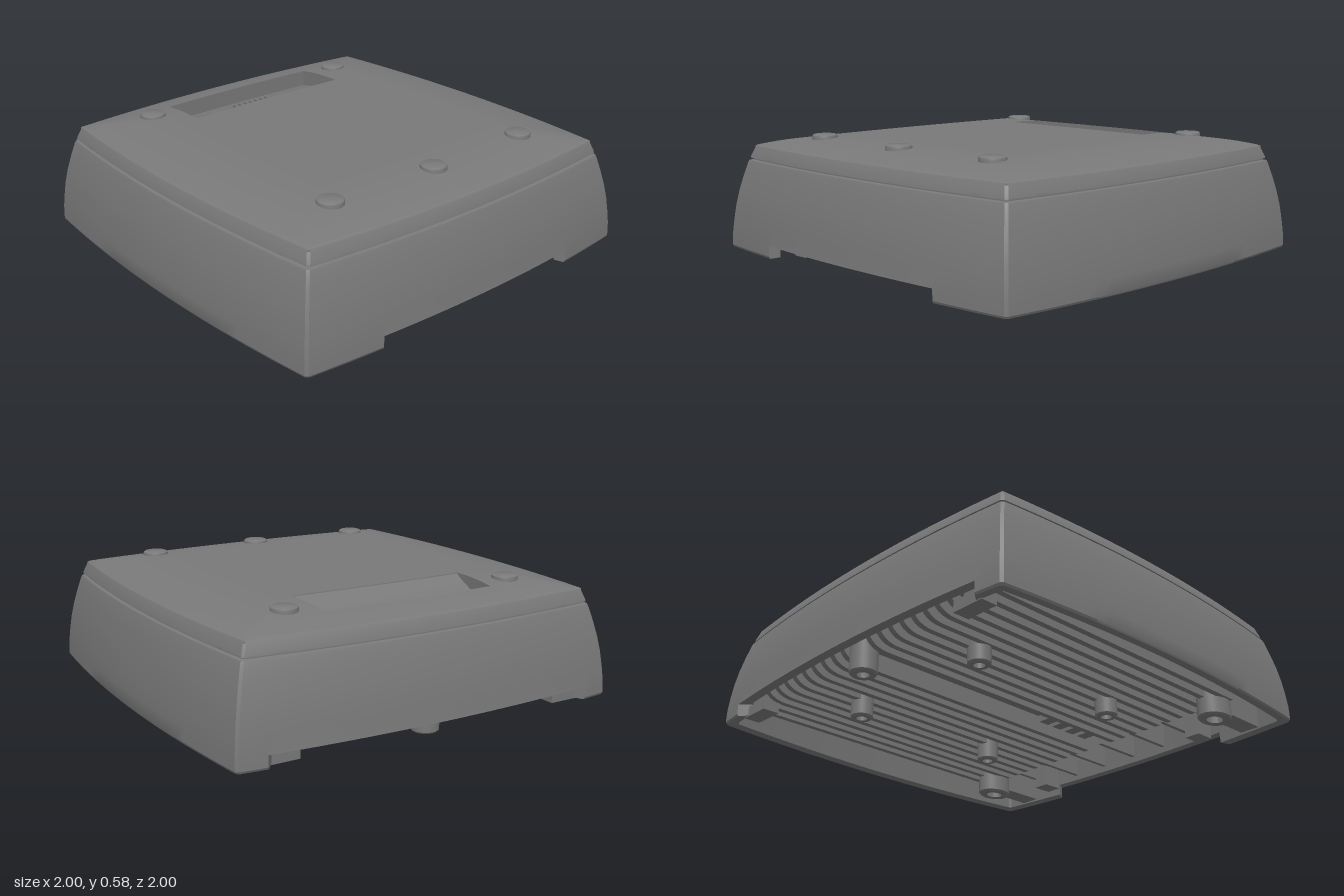
import * as THREE from 'three';
import { toCreasedNormals } from 'three/addons/utils/BufferGeometryUtils.js';

const material = new THREE.MeshStandardMaterial({ color: 0x797979 });
const BULGE = 0.055;

export function createModel() {
  const model = new THREE.Group();

  const add = (name, geometry, x = 0, y = 0, z = 0) => {
    const mesh = new THREE.Mesh(geometry, material);
    mesh.name = name;
    mesh.position.set(x, y, z);
    model.add(mesh);
    return mesh;
  };
  const box = (name, w, h, d, x, y, z) => add(name, new THREE.BoxGeometry(w, h, d), x, y, z);

  // Surface over two parameter lists
  const gridSurface = (us, vs, point, crease) => {
    const positions = [], index = [];
    vs.forEach((v) => us.forEach((u) => positions.push(...point(u, v))));
    for (let j = 0; j < vs.length - 1; j++) {
      for (let i = 0; i < us.length - 1; i++) {
        const a = j * us.length + i, b = a + 1, c = a + us.length, d = c + 1;
        index.push(a, c, b, b, c, d);
      }
    }
    const g = new THREE.BufferGeometry();
    g.setAttribute('position', new THREE.Float32BufferAttribute(positions, 3));
    g.setIndex(index);
    return toCreasedNormals(g, crease);
  };

  // Evenly spaced values from -1 to 1 with a tight pair of lines at every sharp step
  const lines = (n, steps) => {
    const list = [];
    for (let i = 0; i <= n; i++) list.push(2 * i / n - 1);
    steps.forEach((s) => list.push(s - 0.0005, s + 0.0005));
    return list.sort((a, b) => a - b);
  };

  // Housing shell: bulged square rings, notched at the bottom front and back
  const FRONT_NOTCH = 0.61, BACK_NOTCH = 0.87;
  const along = lines(24, [FRONT_NOTCH, -FRONT_NOTCH, BACK_NOTCH, -BACK_NOTCH]);
  const ring = [];
  for (let k = 0; k < 4; k++) along.forEach((t) => ring.push([k, t]));
  ring.push(ring[0]);
  const profile = [
    [0.001, 0.3], [0.94, 0.3], [0.955, 0.03], [0.995, 0.025], [1, 0.035], [0.998, 0.1],
    [0.992, 0.16], [0.983, 0.23], [0.97, 0.3], [0.953, 0.37], [0.935, 0.435], [0.93, 0.447],
    [0.915, 0.45], [0.915, 0.456], [0.925, 0.458], [0.922, 0.47], [0.907, 0.508], [0.902, 0.516], [0.89, 0.522],
  ];
  add('housing', gridSurface(ring, profile, ([k, t], [h, y]) => {
    const a = k * Math.PI / 2, c = Math.round(Math.cos(a)), s = Math.round(Math.sin(a));
    const cut = y < 0.51 ? 0.988 : 1; // softens the vertical corners
    const out = h * (1 - BULGE * t * t), side = h * (1 - BULGE) * t * cut;
    const notch = k === 1 ? FRONT_NOTCH : k === 3 ? BACK_NOTCH : 0;
    const bottom = Math.abs(t) < notch ? 0.085 : 0;
    return [out * c - side * s, Math.max(y, bottom), out * s + side * c];
  }, 0.5));

  // Lid top: gently hipped dome with a sunken bay whose floor ramps up to the front
  const bay = { s: 0.5, t0: -0.83, t1: -0.545 };
  const topHeight = (s, t) => {
    const f = Math.min(1, (1 - Math.max(Math.abs(s), Math.abs(t))) / 0.38);
    return 0.522 + 0.043 * (1 - (1 - f) ** 2);
  };
  add('lidTop', gridSurface(
    lines(48, [bay.s, -bay.s]), lines(48, [bay.t0, bay.t1]),
    (s, t) => {
      let y = topHeight(s, t);
      if (Math.abs(s) < bay.s && t > bay.t0 && t < bay.t1) {
        const q = (t - bay.t0) / (bay.t1 - bay.t0);
        y -= 0.005 + 0.075 * (1 - q * q);
      }
      return [0.89 * s * (1 - BULGE * t * t), y, 0.89 * t * (1 - BULGE * s * s)];
    }, 0.5));

  // Contact pins in the bay
  for (let i = -3; i <= 3; i++) box('contactPin', 0.012, 0.05, 0.05, i * 0.033, 0.485, -0.62);

  // Round pads on the lid
  const padProfile = [[0.06, 0], [0.06, 0.018], [0.058, 0.025], [0.05, 0.03], [0, 0.03]]
    .map(([r, y]) => new THREE.Vector2(r, y));
  const padGeometry = toCreasedNormals(new THREE.LatheGeometry(padProfile, 32), 0.6);
  [[-0.57, -0.655], [0.57, -0.655], [-0.57, 0.65], [0.57, 0.65], [0, 0.67]]
    .forEach(([x, z]) => add('lidPad', padGeometry, x, 0.548, z));

  // Heat sink base inside the open underside
  box('heatSinkBase', 1.68, 0.14, 1.54, 0, 0.24, -0.11);

  // Cooling fins, rounded at the lower back corner
  const fin = new THREE.Shape();
  fin.moveTo(0.68, 0.2);
  fin.lineTo(-0.92, 0.2);
  fin.quadraticCurveTo(-0.92, 0.086, -0.8, 0.086);
  fin.lineTo(0.64, 0.086);
  fin.quadraticCurveTo(0.68, 0.086, 0.68, 0.12);
  const finGeometry = new THREE.ExtrudeGeometry(fin, { depth: 0.028, bevelEnabled: false, curveSegments: 8 });
  finGeometry.rotateY(-Math.PI / 2).translate(0.014, 0, 0);
  for (const side of [-1, 1]) {
    for (let i = 0; i < 11; i++) add('coolingFin', finGeometry, side * (0.09 + i * 0.072));
  }

  // Ribs behind the front wall
  for (let i = -3; i <= 3; i++) box('frontRib', 0.02, 0.2, 0.26, i * 0.2, 0.2, 0.79);

  // Hollow bosses: screw posts and standing feet
  const boss = (name, r, hole, bottom, x, z, stretch = 1) => {
    const pts = [[hole, 0.06], [hole, bottom], [r - 0.008, bottom], [r, bottom + 0.008], [r, 0.2]]
      .map(([a, b]) => new THREE.Vector2(a, b));
    const geometry = toCreasedNormals(new THREE.LatheGeometry(pts, 28), 0.6);
    add(name, geometry, x, 0, z).scale.z = stretch;
    add(name + 'Core', new THREE.CylinderGeometry(hole, hole, 0.1, 28), x, 0.1, z).scale.z = stretch;
  };
  for (const side of [-1, 1]) {
    boss('screwPost', 0.052, 0.025, 0.008, side * 0.4, -0.55);
    boss('screwPost', 0.052, 0.025, 0.008, side * 0.4, 0.25);
    boss('frontFoot', 0.072, 0.035, 0, side * 0.74, 0.62, 1.25);
    // Foot bracket, notch block and rear latch
    box('footBracket', 0.1, 0.17, 0.22, side * 0.74, 0.115, 0.79);
    box('notchBlock', 0.08, 0.18, 0.1, side * 0.51, 0.115, 0.8);
    box('rearLatch', 0.16, 0.05, 0.08, side * 0.73, 0.05, -0.88);
    box('rearLatchStem', 0.06, 0.16, 0.06, side * 0.73, 0.14, -0.88);
  }
  boss('rearFoot', 0.062, 0.028, 0, 0, -0.85);

  // Small terminal blocks in the central channel
  for (let i = 0; i < 4; i++) box('terminalBlock', 0.1, 0.05, 0.06, 0, 0.15, 0.3 + i * 0.09);

  return model;
}
